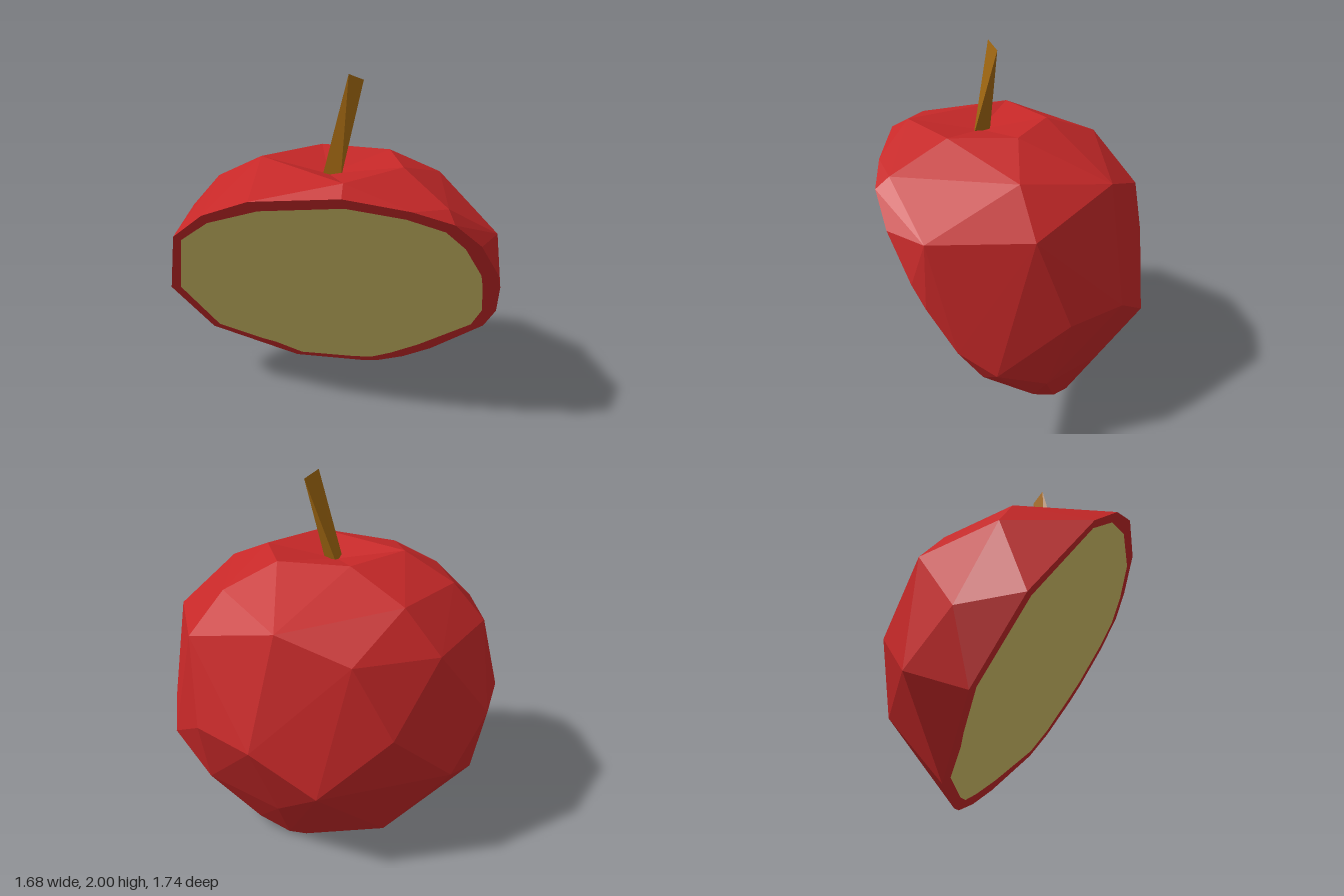
import * as THREE from 'three';
import { ConvexGeometry } from 'three/addons/geometries/ConvexGeometry.js';

const V = (x, y, z) => new THREE.Vector3(x, y, z);
// The slanted cut: depth of its plane at any x, y
const cutZ = (x, y) => -0.65 - 1.12 * x + 1.05 * y;

export function createModel() {
  const model = new THREE.Group();
  model.name = 'cutApple';
  const skinRed = new THREE.MeshStandardMaterial({ color: 0xc62828 });
  skinRed.name = 'skin red';
  const fleshCream = new THREE.MeshStandardMaterial({ color: 0xd8c46a });
  fleshCream.name = 'flesh cream';
  const stemBrown = new THREE.MeshStandardMaterial({ color: 0xa56a12 });
  stemBrown.name = 'stem brown';

  const add = (name, geometry, material) => {
    const mesh = new THREE.Mesh(geometry, material);
    mesh.name = name;
    model.add(mesh);
  };

  // Rim of the cut, as x, y on the cut plane
  const rim = [
    [-0.68, 0.33], [-0.58, 0.73], [-0.25, 1.18], [-0.03, 1.35], [0.2, 1.46], [0.53, 1.5],
    [0.72, 1.43], [0.82, 1.35], [0.84, 1.2], [0.8, 0.98], [0.76, 0.87], [0.65, 0.65],
    [0.53, 0.49], [0.18, 0.2], [0, 0.08], [-0.15, 0.01], [-0.22, 0], [-0.5, 0.03],
  ].map(([x, y]) => V(x, y, cutZ(x, y)));

  // Faceted body: shoulder ring, upper ring, waist and underside
  const body = [
    V(-0.2, 1.55, 0.34), V(0.46, 1.55, 0.27), V(0.42, 1.55, -0.15), V(0.1, 1.55, -0.32), V(-0.22, 1.55, -0.08),
    V(-0.46, 1.4, 0.47), V(-0.58, 1.41, -0.03), V(-0.28, 1.33, -0.63), V(0.24, 1.41, -0.58), V(0.75, 1.41, -0.17),
    V(-0.61, 1.2, 0.57), V(-0.77, 1.18, 0.05), V(-0.61, 1.2, -0.41), V(0.27, 1.19, -0.79), V(0.74, 1.19, -0.55),
    V(-0.78, 0.73, 0.45), V(-0.78, 0.82, -0.28), V(-0.26, 0.71, -0.8), V(0.11, 0.73, -0.87), V(0.49, 0.52, -0.8),
    V(-0.84, 0.5, 0.1), V(-0.56, 0.5, -0.6), V(-0.24, 0.28, -0.61), V(0.18, 0.35, -0.77),
  ];
  const skin = new ConvexGeometry([...rim, ...body, V(0.1, 1.57, 0.1)]);
  // Push the crown point down to form the dimple
  const p = skin.attributes.position;
  for (let i = 0; i < p.count; i++) if (p.getY(i) > 1.56) p.setY(i, 1.48);
  skin.computeVertexNormals();
  add('skin', skin, skinRed);

  // Flesh face lying just proud of the cut
  const outline = [
    [-0.63, 0.36], [-0.53, 0.74], [-0.23, 1.16], [-0.04, 1.3], [0.2, 1.4], [0.51, 1.44], [0.68, 1.38],
    [0.77, 1.3], [0.78, 1.18], [0.74, 0.97], [0.7, 0.87], [0.6, 0.65], [0.49, 0.5], [0.15, 0.24],
    [-0.03, 0.12], [-0.14, 0.06], [-0.22, 0.05], [-0.45, 0.07], [-0.5, 0.18], [-0.54, 0.22],
  ].map(([x, y]) => new THREE.Vector2(x, y));
  const flesh = new THREE.ShapeGeometry(new THREE.Shape(outline));
  const f = flesh.attributes.position;
  for (let i = 0; i < f.count; i++) f.setZ(i, cutZ(f.getX(i), f.getY(i)) + 0.008);
  flesh.computeVertexNormals();
  add('flesh', flesh, fleshCream);

  // Leaning stem: triangular foot tapering to a chisel edge
  add('stem', new ConvexGeometry([
    V(0.11, 1.46, 0.155), V(0.06, 1.46, 0.065), V(0.16, 1.46, 0.065),
    V(0.11, 2, -0.02), V(0.11, 1.96, -0.12),
  ]), stemBrown);

  return model;
}
